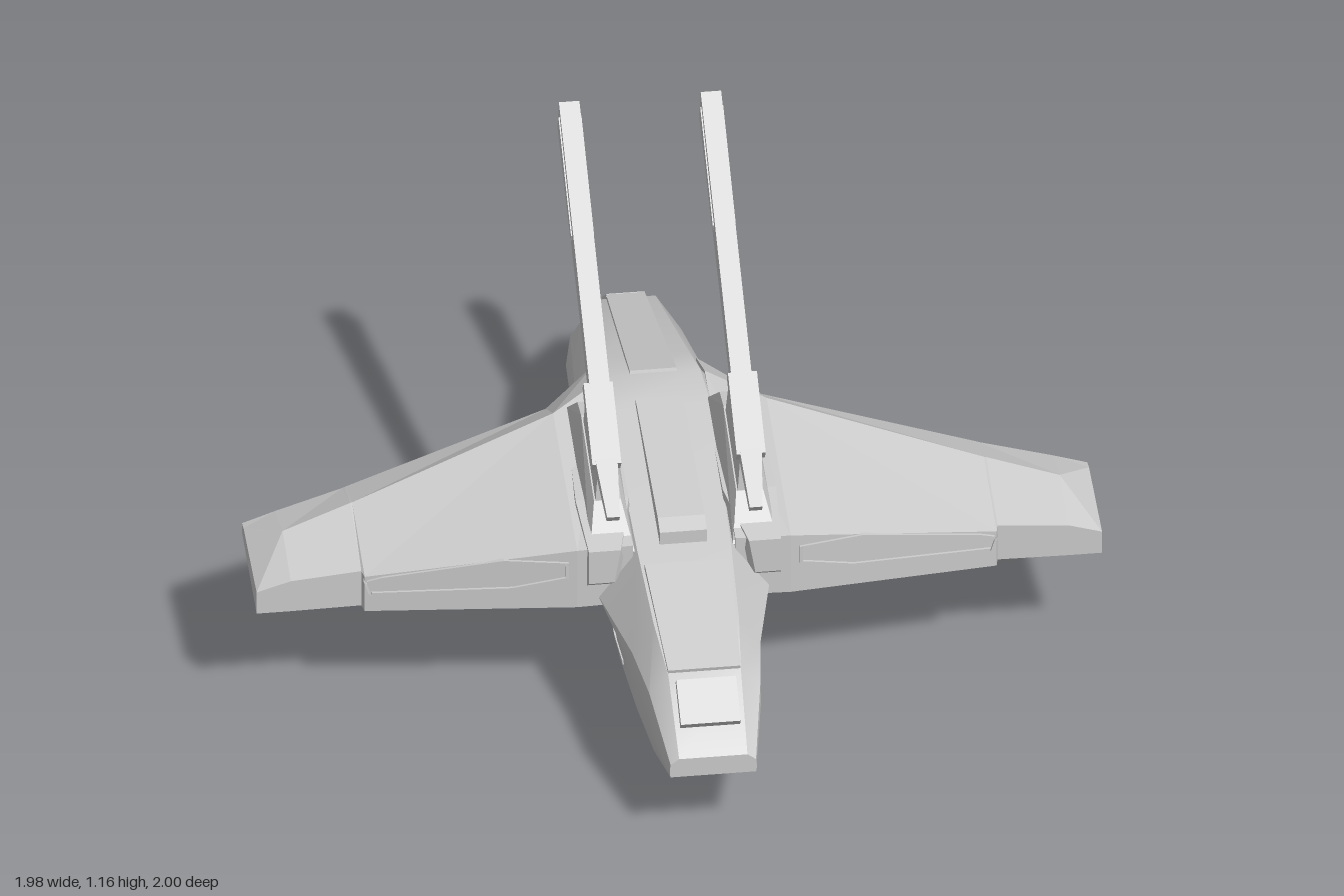
import * as THREE from 'three';
import { toCreasedNormals } from 'three/addons/utils/BufferGeometryUtils.js';
import { ConvexGeometry } from 'three/addons/geometries/ConvexGeometry.js';

const mat = new THREE.MeshStandardMaterial({ color: 0xcccccc });

// Hull half sections: z, then [x, y] from bottom edge up to top edge
const SECTIONS = [
  [-1.00, [[.005, .02], [.012, .022], [.015, .025], [.012, .03], [.005, .035]]],
  [-0.92, [[.02, .025], [.042, .06], [.055, .1], [.055, .15], [.035, .19]]],
  [-0.64, [[.05, .045], [.11, .1], [.14, .22], [.13, .3], [.07, .4]]],
  [-0.25, [[.09, .035], [.145, .12], [.16, .27], [.165, .39], [.1, .51]]],
  [-0.12, [[.1, .035], [.15, .14], [.163, .28], [.2, .43], [.11, .55]]],
  [0.00, [[.1, .035], [.15, .14], [.163, .28], [.21, .4], [.12, .535]]],
  [0.45, [[.11, .04], [.15, .15], [.165, .275], [.2, .33], [.11, .455]]],
  [0.68, [[.1, .045], [.14, .17], [.148, .275], [.15, .325], [.1, .405]]],
  [0.84, [[.1, .117], [.125, .2], [.132, .275], [.13, .32], [.085, .365]]],
  [1.00, [[.1, .19], [.102, .2], [.102, .21], [.1, .225], [.08, .24]]],
];

// Skin over rings of equal length, with closed ends
function loft(rings) {
  const n = rings[0].length, pos = rings.flat(2), idx = [];
  for (let i = 0; i < rings.length - 1; i++) {
    for (let j = 0; j < n; j++) {
      const a = i * n + j, b = i * n + (j + 1) % n;
      idx.push(a, b, b + n, a, b + n, a + n);
    }
  }
  const e = (rings.length - 1) * n;
  for (let j = 1; j < n - 1; j++) idx.push(0, j + 1, j, e, e + j, e + j + 1);
  const g = new THREE.BufferGeometry();
  g.setAttribute('position', new THREE.Float32BufferAttribute(pos, 3));
  g.setIndex(idx);
  const flat = g.toNonIndexed();
  flat.computeVertexNormals();
  return flat;
}

const hull = (pts) => new ConvexGeometry(pts.map((p) => new THREE.Vector3(...p)));

// Thin plate: corners extended by an offset
const slab = (pts, [dx, dy, dz]) =>
  hull([...pts, ...pts.map(([x, y, z]) => [x + dx, y + dy, z + dz])]);

// Solid from a [z, y] side profile; each point may carry its own [x0, x1]
const side = (pts, x0, x1) =>
  hull(pts.flatMap(([z, y, a = x0, b = x1]) => [[a, y, z], [b, y, z]]));

function mirrored(geo) {
  const g = geo.index ? geo.toNonIndexed() : geo.clone();
  const p = g.attributes.position;
  const v = (i) => [-p.getX(i), p.getY(i), p.getZ(i)];
  for (let i = 0; i < p.count; i += 3) {
    const b = v(i + 1), c = v(i + 2);
    p.setXYZ(i, ...v(i));
    p.setXYZ(i + 1, ...c);
    p.setXYZ(i + 2, ...b);
  }
  g.computeVertexNormals();
  return g;
}

// Half width of the hull at a given z and y
function hullX(z, y) {
  let k = 0;
  while (k < SECTIONS.length - 2 && SECTIONS[k + 1][0] < z) k++;
  const [z0, a] = SECTIONS[k], [z1, b] = SECTIONS[k + 1], t = (z - z0) / (z1 - z0);
  const s = a.map((p, i) => [p[0] + (b[i][0] - p[0]) * t, p[1] + (b[i][1] - p[1]) * t]);
  for (let i = 0; i < s.length - 1; i++) {
    if (y <= s[i + 1][1]) {
      const u = Math.max(0, (y - s[i][1]) / (s[i + 1][1] - s[i][1]));
      return s[i][0] + (s[i + 1][0] - s[i][0]) * u;
    }
  }
  return s[s.length - 1][0];
}

export function createModel() {
  const model = new THREE.Group();
  model.name = 'spacecraft';
  const add = (name, geo) => {
    const m = new THREE.Mesh(geo, mat);
    m.name = name;
    model.add(m);
  };
  const pair = (name, geo) => {
    add(name + 'Left', geo);
    add(name + 'Right', mirrored(geo));
  };

  // Fuselage
  const rings = SECTIONS.map(([z, h]) => [
    ...h.map(([x, y]) => [x, y, z]),
    ...[...h].reverse().map(([x, y]) => [-x, y, z]),
  ]);
  add('fuselage', toCreasedNormals(loft(rings), 0.45));

  // Keel and plates along the centre line
  add('keel', side([[-.35, .012], [-.35, .05], [.43, .05], [.43, 0], [-.05, 0]], -.03, .03));
  add('nosePlateFront', slab([[-.03, .25, -.84], [.03, .25, -.84], [.045, .4, -.64], [-.045, .4, -.64]], [0, .01, -.006]));
  add('nosePlateRear', slab([[-.045, .4, -.64], [.045, .4, -.64], [.055, .547, -.12], [-.055, .547, -.12]], [0, .01, -.004]));
  add('spine', side([[-.02, .53], [-.02, .552], [.4, .505], [.44, .49], [.44, .44]], -.055, .055));
  add('rearDeckPlate', slab([[-.1, .44, .51], [.1, .44, .51], [.085, .36, .83], [-.085, .36, .83]], [0, .016, .004]));
  add('rearHatch', slab([[-.07, .35, .85], [.07, .35, .85], [.07, .285, .94], [-.07, .285, .94]], [0, .02, .015]));
  add('tailPlate', slab([[-.08, .07, .73], [.08, .07, .73], [.085, .175, .965], [-.085, .175, .965]], [0, -.006, .003]));

  // Raised strips on the hull sides
  const path = [[.53, .2], [.43, .2], [.09, .25], [-.26, .3], [-.45, .24], [-.64, .18], [-.9, .1]];
  for (let i = 0; i < path.length - 1; i++) {
    const pts = [path[i], path[i + 1]].flatMap(([z, y]) =>
      [y - .012, y].map((h) => [hullX(z, h) + .004, h, z]));
    pair('sideStrip' + i, slab(pts, [-.02, 0, 0]));
  }
  const hatch = [[-.05, .125], [-.05, .155], [-.2, .17], [-.35, .165], [-.35, .135], [-.2, .13]];
  pair('sideHatch', slab(hatch.map(([z, y]) => [hullX(z, y) + .003, y, z]), [-.02, 0, 0]));

  // Wings: stations along x, rings of [z, y] around leading edge, ridge and trailing edge
  const wing = [
    [.12, [[-.28, .47], [-.12, .545], [.455, .47], [.455, .31], [-.28, .385]]],
    [.25, [[-.14, .455], [0, .54], [.453, .465], [.453, .305], [-.14, .375]]],
    [.74, [[.012, .382], [.155, .438], [.39, .39], [.39, .293], [.012, .345]]],
    [.745, [[.014, .381], [.157, .438], [.366, .39], [.366, .293], [.014, .345]]],
    [.91, [[.065, .365], [.21, .41], [.365, .375], [.365, .29], [.065, .335]]],
    [.99, [[.09, .355], [.12, .362], [.365, .35], [.365, .29], [.09, .33]]],
  ];
  pair('wing', loft(wing.map(([x, r]) => r.map(([z, y]) => [x, y, z]))));

  // Raised frame on the trailing face of each wing
  const tz = (x) => .453 - (x - .25) * .1286;
  const frame = [[.27, .385], [.27, .425], [.42, .432], [.7, .383], [.735, .372], [.725, .34], [.4, .355]];
  frame.forEach(([x0, y0], i) => {
    const [x1, y1] = frame[(i + 1) % frame.length];
    const c = [[x0, y0], [x1, y1], [x1, y1 + .008], [x0, y0 + .008]];
    const d = Math.abs(x1 - x0) < .02 ? .008 : 0;
    pair('wingFrame' + i, slab(c.map(([x, y], k) => [x + (k > 1 ? d : 0), y, tz(x) - .01]), [0, 0, .016]));
  });

  // Nacelles beneath the gun mounts
  pair('nacelle', side([[.47, .47, .15, .225], [.47, .38, .165, .225], [.39, .31], [0, .36], [-.02, .52, .11, .22], [.3, .5]], .11, .235));

  // Gun mounts, breeches and barrels
  pair('gunBase', side([[.45, .45, .115, .22], [-.02, .5, .11, .22], [-.02, .54, .115, .215], [.35, .53], [.11, .605], [.04, .595]], .135, .198));
  pair('gunPost', side([[.345, .62], [.16, .74], [.12, .59, .138, .195], [.35, .52, .138, .195]], .145, .188));
  pair('gunBreech', side([[.36, .64], [.195, .757], [.175, .73], [.34, .612]], .135, .203));
  pair('gunTail', side([[.47, .565, .152, .182], [.35, .648], [.33, .615], [.455, .545, .152, .182]], .143, .195));
  pair('gunBarrel', side([[.2, .755], [-.37, 1.16], [-.395, 1.075], [.16, .728]], .142, .19));
  pair('gunBarrelPanel', side([[-.12, .955], [-.355, 1.128], [-.372, 1.085], [-.13, .935]], .139, .193));
  return model;
}
